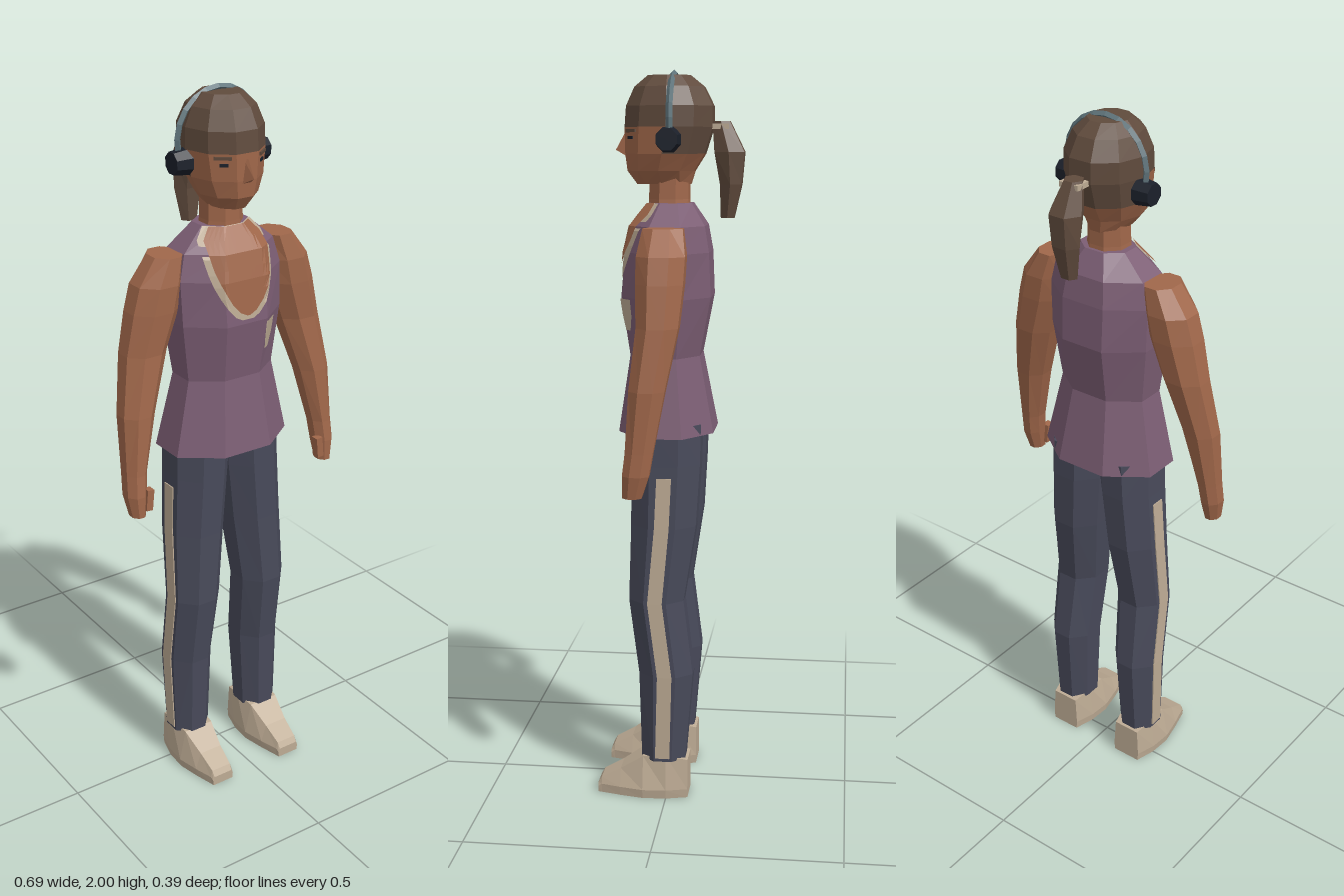
import * as THREE from 'three';

const mat = (name, color, opts = {}) => {
  const m = new THREE.MeshStandardMaterial({ color, flatShading: true, ...opts });
  m.name = name;
  return m;
};

export function createModel() {
  const skin = mat('skin', 0xa0674a);
  const shirt = mat('shirt', 0x7c5e74);
  const trousers = mat('trousers', 0x484a5a);
  const hair = mat('hair', 0x604b3d);
  const beige = mat('beige', 0xbdab94);
  const bandMat = mat('band', 0x5f747b);
  const dark = mat('darkPadding', 0x1b202a);
  const skinPatch = skin, trimMat = beige;

  const model = new THREE.Group();
  model.name = 'womanWithHeadphones';
  const add = (name, geo, material, parent = model) => {
    const m = new THREE.Mesh(geo, material);
    m.name = name;
    parent.add(m);
    return m;
  };

  // Level polygon that fills the given x and z limits, with a flat front side
  const ring = (n, [y, x0, x1, z0, z1], s = 1) => {
    const a = Array.from({ length: n }, (_, i) => (i + 0.5) * 2 * Math.PI / n);
    const mx = Math.max(...a.map(Math.sin)), mz = Math.max(...a.map(Math.cos));
    return a.map(t => [
      s * ((x0 + x1) / 2 + (x1 - x0) / 2 * Math.sin(t) / mx), y,
      (z0 + z1) / 2 + (z1 - z0) / 2 * Math.cos(t) / mz]);
  };

  // Capped skin over cross-sections; pick(row, centre) gives a material index
  const loft = (rings, pick = () => 0) => {
    const n = rings[0].length, buckets = [[], []];
    const mean = ps => [0, 1, 2].map(k => ps.reduce((t, p) => t + p[k], 0) / ps.length);
    for (let r = 0; r < rings.length - 1; r++) {
      for (let i = 0; i < n; i++) {
        const j = (i + 1) % n;
        const q = [rings[r][i], rings[r][j], rings[r + 1][j], rings[r + 1][i]];
        buckets[pick(r, mean(q))].push([q[0], q[1], q[2]], [q[0], q[2], q[3]]);
      }
    }
    const first = rings[0], last = rings[rings.length - 1];
    const c0 = mean(first), c1 = mean(last);
    for (let i = 0; i < n; i++) {
      const j = (i + 1) % n;
      buckets[pick(0, c0)].push([c0, first[j], first[i]]);
      buckets[pick(rings.length - 2, c1)].push([c1, last[i], last[j]]);
    }
    // Turn all faces outward
    let volume = 0;
    buckets.flat().forEach(([a, b, c]) => {
      volume += new THREE.Vector3(...a).dot(new THREE.Vector3(...b).cross(new THREE.Vector3(...c)));
    });
    const geo = new THREE.BufferGeometry(), pos = [];
    buckets.forEach((tris, k) => {
      const start = pos.length / 3;
      tris.forEach(t => (volume < 0 ? [t[0], t[2], t[1]] : t).forEach(p => pos.push(...p)));
      geo.addGroup(start, pos.length / 3 - start, k);
    });
    geo.setAttribute('position', new THREE.Float32BufferAttribute(pos, 3));
    geo.computeVertexNormals();
    return geo;
  };

  // Torso
  const torso = [
    [1.03, 0.18, -0.12, 0.14], [1.24, 0.135, -0.08, 0.11], [1.40, 0.155, -0.11, 0.133],
    [1.52, 0.158, -0.105, 0.122], [1.59, 0.14, -0.093, 0.105], [1.65, 0.072, -0.055, 0.06]];
  add('tankTop', loft(torso.map(([y, w, b, f]) => ring(8, [y, -w, w, b, f]))), shirt);

  // Depth of the torso's front at (x, y)
  const frontZ = (x, y) => {
    let i = 0;
    while (i < torso.length - 2 && y > torso[i + 1][0]) i++;
    const t = (y - torso[i][0]) / (torso[i + 1][0] - torso[i][0]);
    const [, w, b, f] = torso[i].map((v, k) => THREE.MathUtils.lerp(v, torso[i + 1][k], t));
    const side = (b + f) / 2 + 0.414 * (f - b) / 2;
    const u = THREE.MathUtils.clamp((Math.abs(x) - 0.414 * w) / (0.586 * w), 0, 1);
    return THREE.MathUtils.lerp(f, side, u);
  };
  // Thin patch on the chest, rows given as [y, x from, x to]
  const chestPatch = (name, rows, lift, material) => {
    const cols = 16, geo = new THREE.PlaneGeometry(1, 1, cols, rows.length - 1);
    const p = geo.attributes.position;
    for (let k = 0; k < p.count; k++) {
      const [y, a, b] = rows[Math.floor(k / (cols + 1))];
      const x = a + (b - a) * (k % (cols + 1)) / cols;
      p.setXYZ(k, x, y, frontZ(x, y) + lift);
    }
    geo.computeVertexNormals();
    add(name, geo, material);
  };
  const scoop = [[1.65, 0.062], [1.62, 0.088], [1.59, 0.092], [1.55, 0.086], [1.52, 0.078],
    [1.49, 0.065], [1.46, 0.048], [1.435, 0.025], [1.425, 0.005]];
  const edge = scoop.map(([y, w]) => [y - (y < 1.6 ? 0.012 : 0), w + 0.012]);
  chestPatch('necklineTrim', edge.map(([y, w]) => [y, -w, w]), 0.004, trimMat);
  chestPatch('necklineSkin', scoop.map(([y, w]) => [y, -w, w]), 0.008, skinPatch);
  chestPatch('chestPatch', [[1.395, 0.06, 0.105], [1.35, 0.06, 0.1], [1.31, 0.065, 0.085]], 0.004, beige);

  // Neck and head, with the scalp coloured as hair
  add('neck', loft([[1.61, -0.06, 0.06, -0.05, 0.065], [1.66, -0.054, 0.054, -0.045, 0.062],
    [1.73, -0.052, 0.052, -0.045, 0.06]].map(r => ring(8, r))), skin);
  const headRings = [
    [1.70, -0.05, 0.05, -0.05, 0.095], [1.735, -0.078, 0.078, -0.06, 0.12],
    [1.78, -0.098, 0.098, -0.088, 0.125], [1.85, -0.108, 0.108, -0.11, 0.126],
    [1.905, -0.107, 0.107, -0.11, 0.122], [1.955, -0.087, 0.087, -0.085, 0.1],
    [1.985, -0.055, 0.055, -0.048, 0.065]].map(r => ring(10, r));
  add('head', loft(headRings, (r, c) => (r >= 3 || (r === 2 && c[2] < 0.02) ? 1 : 0)), [skin, hair]);
  add('nose', loft([
    [[-0.016, 1.77, 0.118], [0.016, 1.77, 0.118], [0, 1.79, 0.155]],
    [[-0.007, 1.835, 0.118], [0.007, 1.835, 0.118], [0, 1.835, 0.13]]]), skin);

  // Ponytail and its tie
  add('ponytail', loft([
    [1.865, -0.025, 0.028, -0.155, -0.108], [1.785, -0.04, 0.056, -0.195, -0.115],
    [1.70, -0.036, 0.05, -0.188, -0.13], [1.61, -0.02, 0.03, -0.168, -0.132]].map(r => ring(6, r))), hair);
  add('hairTie', new THREE.BoxGeometry(0.058, 0.014, 0.05), beige).position.set(0.002, 1.852, -0.128);

  // Headphone band
  const arc = Math.PI * 1.16;
  const band = add('headphoneBand', new THREE.TorusGeometry(0.124, 0.009, 4, 12, arc), bandMat);
  band.rotation.z = (Math.PI - arc) / 2;
  band.position.set(0, 1.867, -0.004);

  const legs = [
    [1.06, -0.005, 0.165, -0.09, 0.1], [0.95, 0.002, 0.168, -0.088, 0.1],
    [0.78, 0.018, 0.176, -0.078, 0.1], [0.57, 0.042, 0.182, -0.046, 0.105],
    [0.36, 0.053, 0.184, -0.072, 0.077], [0.11, 0.065, 0.178, -0.052, 0.07]];
  const arms = [
    [1.59, 0.13, 0.215, -0.048, 0.058], [1.52, 0.135, 0.266, -0.058, 0.07],
    [1.45, 0.148, 0.286, -0.055, 0.07], [1.34, 0.188, 0.309, -0.045, 0.065],
    [1.18, 0.24, 0.335, -0.014, 0.08], [1.02, 0.278, 0.34, 0.015, 0.088],
    [0.96, 0.285, 0.343, 0.025, 0.095], [0.90, 0.292, 0.333, 0.045, 0.095]];
  const shoe = [ // z, sole half width, top half width, height
    [-0.06, 0.045, 0.04, 0.11], [0, 0.062, 0.052, 0.125], [0.065, 0.066, 0.046, 0.118],
    [0.13, 0.052, 0.035, 0.075], [0.185, 0.037, 0.031, 0.045], [0.195, 0.035, 0.03, 0.028]];

  for (const [s, side] of [[1, 'left'], [-1, 'right']]) {
    // Face details and ear cup
    const brow = add(side + 'Brow', new THREE.BoxGeometry(0.045, 0.008, 0.008), hair);
    brow.position.set(s * 0.06, 1.84, 0.104);
    brow.rotation.y = s * 0.69;
    const eye = add(side + 'Eye', new THREE.BoxGeometry(0.022, 0.008, 0.008), dark);
    eye.position.set(s * 0.056, 1.822, 0.105);
    eye.rotation.y = s * 0.69;
    const cup = add(side + 'EarCup', new THREE.CylinderGeometry(0.03, 0.036, 0.046, 8), dark);
    cup.geometry.rotateY(Math.PI / 8);
    cup.rotation.z = -s * Math.PI / 2;
    cup.position.set(s * 0.122, 1.817, 0);

    // Arm with hand
    add(side + 'Arm', loft(arms.map(r => ring(8, r, s))), skin);
    const thumb = add(side + 'Thumb', new THREE.BoxGeometry(0.02, 0.06, 0.024), skin);
    thumb.position.set(s * 0.286, 0.945, 0.083);
    thumb.rotation.z = s * 0.1;

    // Trouser leg with side stripe
    add(side + 'TrouserLeg', loft(legs.map(r => ring(8, r, s))), trousers);
    const stripe = [[0.92, 0.1695, 0.005], [0.78, 0.176, 0.011], [0.57, 0.182, 0.0295],
      [0.36, 0.184, 0.0025], [0.12, 0.1785, 0.009]];
    const quad = (x, y, z) => [[x, y, z + 0.02], [x, y, z - 0.02],
      [x - s * 0.006, y, z - 0.02], [x - s * 0.006, y, z + 0.02]];
    add(side + 'TrouserStripe', loft(stripe.map(([y, x, z]) => quad(s * (x + 0.003), y, z))), beige);

    // Shoe
    add(side + 'Shoe', loft(shoe.map(([z, w, t, h]) => {
      const x = s * 0.119, m = Math.min(0.025, h * 0.6);
      return [[-w * 0.95, 0], [w * 0.95, 0], [w, m], [t, h], [-t, h], [-w, m]].map(([dx, y]) => [x + dx, y, z]);
    })), beige);
  }
  return model;
}
